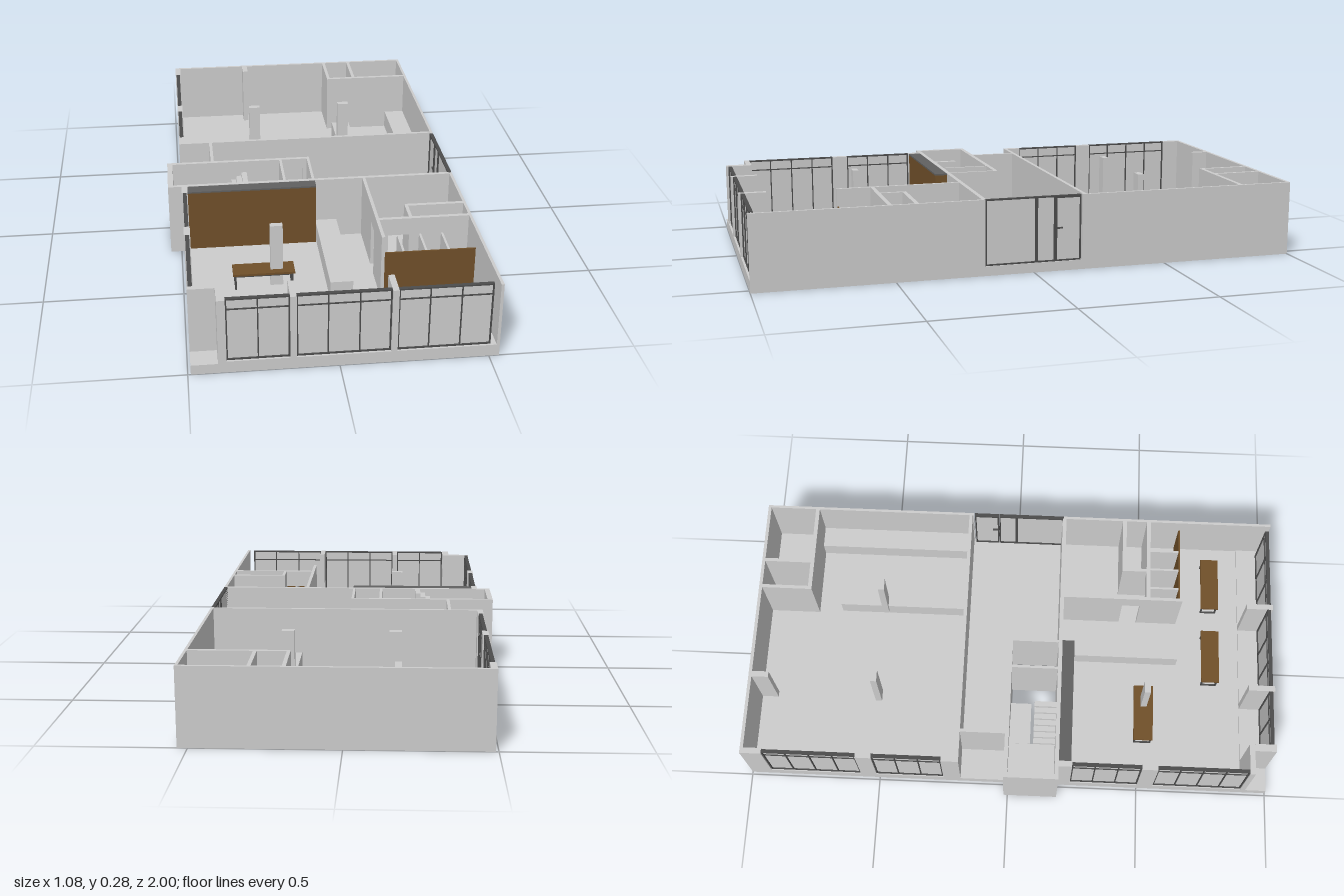
import * as THREE from 'three';

const material = (name, color) => {
  const m = new THREE.MeshStandardMaterial({ color });
  m.name = name;
  return m;
};

export function createModel() {
  const plaster = material('plaster grey', 0xcccccc);
  const metal = material('dark metal', 0x4c4c4c);
  const capGrey = material('cap grey', 0x606060);
  const wood = material('wood brown', 0x70502a);

  const model = new THREE.Group();
  model.name = 'floorOfBuilding';
  const FLOOR = 0.035, TOP = 0.275;

  // Box given by its limits on each axis
  function box(name, mat, x0, x1, y0, y1, z0, z1, parent = model) {
    const mesh = new THREE.Mesh(new THREE.BoxGeometry(x1 - x0, y1 - y0, z1 - z0), mat);
    mesh.position.set((x0 + x1) / 2, (y0 + y1) / 2, (z0 + z1) / 2);
    mesh.name = name;
    parent.add(mesh);
    return mesh;
  }
  const wall = (name, x0, x1, z0, z1, top = TOP, bottom = FLOOR) =>
    box(name, plaster, x0, x1, bottom, top, z0, z1);

  // Glazed wall running along x or z: frame, mullions, transom and panes
  function glazing(name, axis, depth, stops, transom = true, y0 = 0.042) {
    const g = new THREE.Group();
    g.name = name;
    const bar = (part, mat, a0, a1, b0, b1, d) => axis === 'x'
      ? box(part, mat, a0, a1, b0, b1, depth - d, depth + d, g)
      : box(part, mat, depth - d, depth + d, b0, b1, a0, a1, g);
    const a = stops[0], b = stops[stops.length - 1], w = 0.005;
    bar('pane', plaster, a, b, y0, TOP - 0.002, 0.002);
    bar('bottomRail', metal, a, b, y0, y0 + w, 0.007);
    bar('topRail', metal, a, b, TOP - w, TOP, 0.007);
    if (transom) bar('transom', metal, a, b, 0.233, 0.237, 0.006);
    stops.forEach((s, i) => {
      const end = i === 0 || i === stops.length - 1;
      const c = i === 0 ? s + w / 2 : end ? s - w / 2 : s;
      const h = end ? w / 2 : 0.002;
      bar('mullion', metal, c - h, c + h, y0, TOP, 0.007);
    });
    model.add(g);
  }
  const divide = (a, b, n) => Array.from({ length: n + 1 }, (_, i) => a + (b - a) * i / n);

  // Floor slab with the stairwell bump and opening
  const outline = new THREE.Shape([
    [-0.49, -1], [0.535, -1], [0.535, 1], [-0.49, 1],
    [-0.49, 0.19], [-0.54, 0.19], [-0.54, -0.015], [-0.49, -0.015],
  ].map(p => new THREE.Vector2(...p)));
  outline.holes.push(new THREE.Path([
    [-0.52, 0], [-0.52, 0.175], [0, 0.175], [0, 0],
  ].map(p => new THREE.Vector2(...p))));
  const slabGeo = new THREE.ExtrudeGeometry(outline, { depth: FLOOR, bevelEnabled: false });
  slabGeo.rotateX(Math.PI / 2).translate(0, FLOOR, 0);
  const slab = new THREE.Mesh(slabGeo, plaster);
  slab.name = 'floorSlab';
  model.add(slab);

  // Outer walls
  wall('backWall', -0.49, 0.535, -1, -0.988);
  wall('rightWallBack', 0.525, 0.535, -0.99, -0.18);
  wall('rightWallFront', 0.525, 0.535, 0.18, 1);
  wall('backRoomFrontWall', -0.49, 0.53, -0.197, -0.184);
  wall('frontRoomBackWall', -0.54, 0.53, 0.175, 0.19);

  // Left side piers, sills and windows
  for (const [z0, z1] of [[-0.99, -0.92], [-0.57, -0.51], [-0.25, -0.19], [0.19, 0.24], [0.5, 0.56]])
    wall('leftPier', -0.49, -0.468, z0, z1);
  for (const [z0, z1, n] of [[-0.92, -0.57, 4], [-0.51, -0.25, 3], [0.24, 0.5, 3], [0.56, 0.9, 4]]) {
    box('leftSill', plaster, -0.49, -0.468, FLOOR, 0.042, z0, z1);
    glazing('leftWindow', 'z', -0.479, divide(z0, z1, n));
  }

  // Front side: notched corner, piers, sill and windows
  wall('cornerWall', -0.49, -0.375, 0.9, 0.92);
  wall('cornerReturn', -0.4, -0.372, 0.92, 1);
  wall('frontPier', -0.163, -0.142, 0.9, 1);
  wall('frontPier', 0.17, 0.191, 0.9, 1);
  box('frontSill', plaster, -0.4, 0.525, FLOOR, 0.042, 0.9, 1);
  for (const [x0, x1, n] of [[-0.372, -0.163, 2], [-0.142, 0.17, 3], [0.191, 0.505, 3]])
    glazing('frontWindow', 'x', 0.985, divide(x0, x1, n));

  // Right side entrance with door and handle
  glazing('entranceGlazing', 'z', 0.528, [-0.008, 0.18], false, 0.036);
  glazing('entranceSideLight', 'z', 0.528, [-0.078, -0.008], false, 0.036);
  glazing('entranceDoor', 'z', 0.528, [-0.175, -0.08], false, 0.036);
  box('doorTopRail', metal, 0.522, 0.535, 0.266, 0.27, -0.175, -0.08);
  box('doorHandle', metal, 0.52, 0.538, 0.155, 0.16, -0.105, -0.085);

  // Corridor end wall
  wall('corridorEndWall', -0.372, -0.36, -0.184, -0.015);

  // Stairwell walls, with a doorway near the inner end
  wall('stairWallBack', -0.54, -0.085, -0.015, 0);
  wall('stairWallBack', -0.015, 0.01, -0.015, 0);
  wall('stairDoorLintel', -0.085, -0.015, -0.015, 0, TOP, 0.235);
  wall('stairWallLeft', -0.54, -0.52, 0, 0.175);
  wall('stairWallInner', 0, 0.01, 0, 0.175);
  wall('stairDivider', -0.108, -0.098, 0, 0.175, TOP, 0);

  // Half-turn stair: lower flight, landing, upper flight
  const rise = 0.0142, tread = 0.02, landing = 0.175;
  for (let i = 0; i < 10; i++) {
    const x = -0.18 - i * tread, y = FLOOR + i * rise;
    box('lowerStep', plaster, x - tread, x, y - 0.02, y + rise, 0, 0.08);
  }
  box('stairLanding', plaster, -0.52, -0.38, landing - 0.02, landing, 0, 0.175);
  for (let i = 0; i < 7; i++) {
    const x = -0.38 + i * tread, y = landing + i * rise;
    box('upperStep', plaster, x, x + tread, y - 0.02, y + rise, 0.092, 0.175);
  }

  // Back room: small rooms, stub wall, columns and counters
  wall('closetWall', 0.18, 0.193, -0.99, -0.795);
  wall('closetWall', 0.292, 0.305, -0.99, -0.795);
  wall('closetFront', 0.18, 0.527, -0.81, -0.795);
  wall('stubWall', -0.188, -0.166, -0.99, -0.925);
  wall('column', -0.188, -0.143, -0.537, -0.513);
  wall('column', 0.19, 0.235, -0.537, -0.513);
  wall('column', -0.188, -0.143, 0.507, 0.53);
  wall('counter', 0.19, 0.264, -0.7, -0.537, 0.105);
  wall('counter', 0.19, 0.264, -0.51, -0.195, 0.105);
  wall('sideCounter', 0.444, 0.526, -0.796, -0.195, 0.105);
  wall('servingCounter', 0.012, 0.093, 0.19, 0.65, 0.105);

  // Front room partitions
  wall('partition', 0.19, 0.202, 0.19, 0.42);
  wall('partition', 0.19, 0.202, 0.49, 0.65);
  wall('partitionLintel', 0.19, 0.202, 0.42, 0.49, TOP, 0.21);
  wall('washroomWall', 0.2, 0.235, 0.51, 0.525);
  wall('washroomWall', 0.31, 0.527, 0.51, 0.525);
  wall('washroomLintel', 0.235, 0.31, 0.51, 0.525, TOP, 0.21);
  wall('storeWall', 0.31, 0.322, 0.415, 0.51);
  wall('storeWall', 0.31, 0.527, 0.415, 0.43);

  // Washroom stalls with wooden fronts
  for (const x of [0.27, 0.35, 0.43]) wall('stallPartition', x - 0.004, x + 0.004, 0.525, 0.643, 0.21);
  box('stallFront', wood, 0.2, 0.526, 0.046, 0.21, 0.642, 0.648);

  // Wood-clad cabinet against the wall
  box('cabinet', wood, -0.47, 0.01, FLOOR, 0.268, 0.19, 0.236);
  box('cabinetTop', capGrey, -0.47, 0.01, 0.268, 0.274, 0.19, 0.236);

  // Tables on dark metal frames
  for (const [x0, x1, z0, z1] of [
    [-0.323, -0.102, 0.48, 0.555], [-0.075, 0.14, 0.745, 0.815], [0.236, 0.45, 0.745, 0.815],
  ]) {
    const table = new THREE.Group();
    table.name = 'table';
    box('tableTop', wood, x0, x1, 0.092, 0.1, z0, z1, table);
    for (const x of [x0 + 0.006, x1 - 0.012]) {
      box('footRail', metal, x, x + 0.006, FLOOR, FLOOR + 0.005, z0 + 0.005, z1 - 0.005, table);
      for (const z of [z0 + 0.004, z1 - 0.01])
        box('tableLeg', metal, x, x + 0.006, FLOOR, 0.092, z, z + 0.006, table);
    }
    for (const z of [z0 + 0.004, z1 - 0.01])
      box('tableRail', metal, x0 + 0.006, x1 - 0.006, 0.086, 0.092, z, z + 0.006, table);
    model.add(table);
  }

  return model;
}
